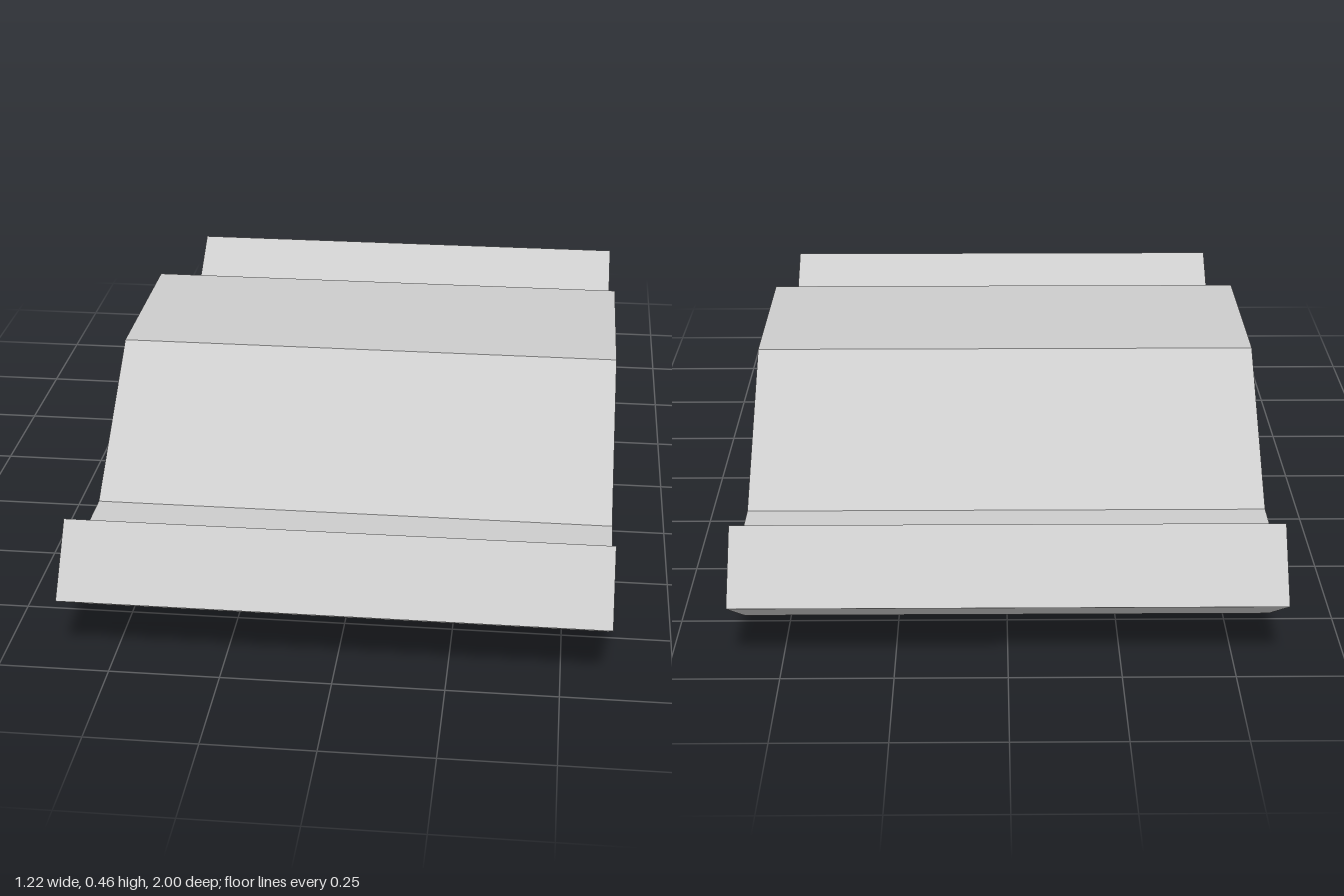
import * as THREE from 'three';

const WIDTH = 1.216;

export function createModel() {
  const group = new THREE.Group();
  const lightGrey = new THREE.MeshStandardMaterial({ color: 0xcccccc });
  lightGrey.name = 'lightGrey';

  // Half of the side profile (distance from the middle, height), mirrored to the other end
  const half = [
    [0.725, 0], [1, 0.175], [0.885, 0.318], [0.703, 0.197], [0.58, 0.197], [0.222, 0.46],
  ];
  const mirrored = half.map(([z, y]) => [-z, y]).reverse();
  const profile = new THREE.Shape([...half, ...mirrored].map(([z, y]) => new THREE.Vector2(z, y)));

  // Sweep the profile across the width
  const geometry = new THREE.ExtrudeGeometry(profile, { depth: WIDTH, bevelEnabled: false });
  geometry.translate(0, 0, -WIDTH / 2);
  geometry.rotateY(-Math.PI / 2);

  const block = new THREE.Mesh(geometry, lightGrey);
  block.name = 'profiledBlock';
  group.add(block);
  return group;
}
